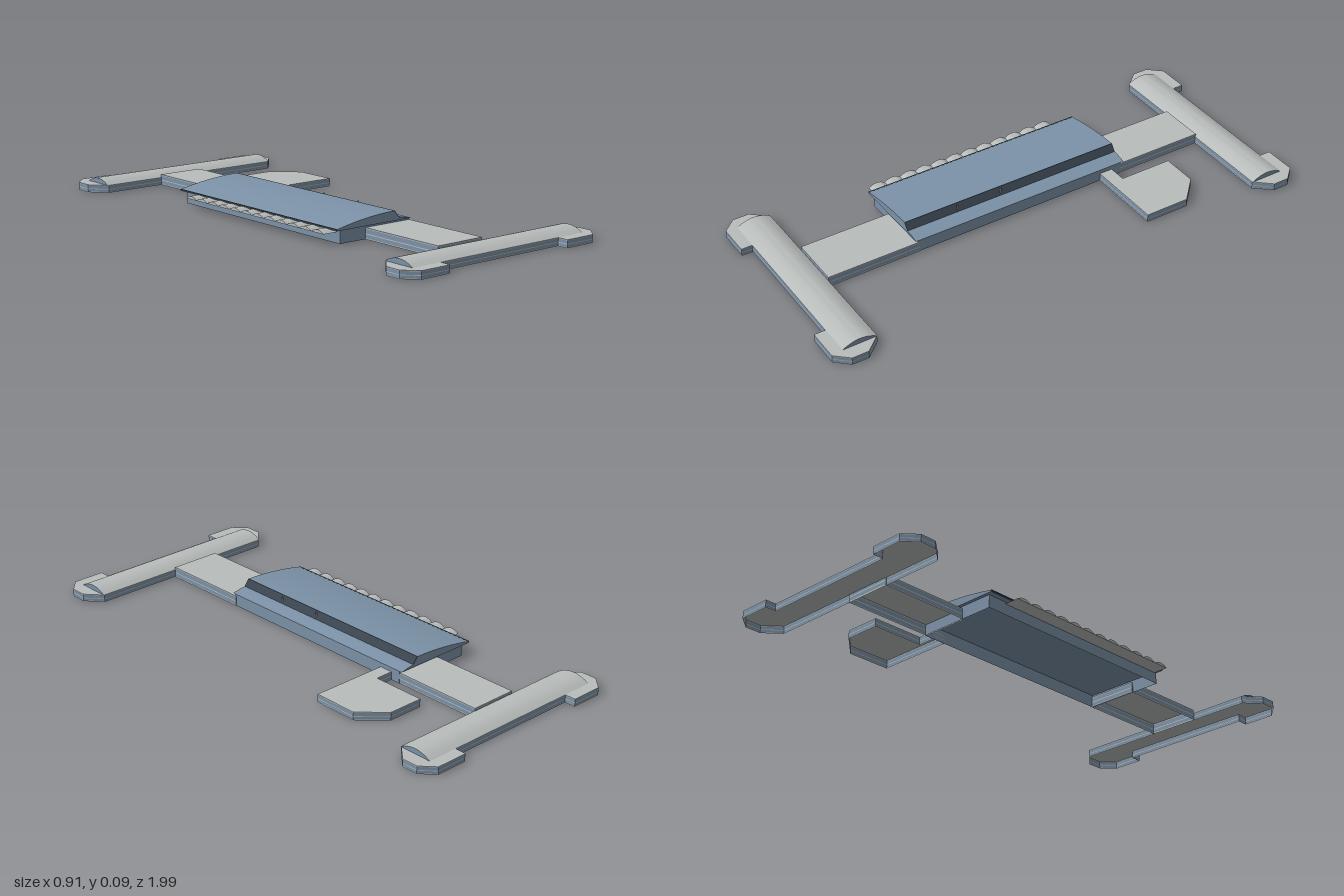
import * as THREE from 'three';
import { toCreasedNormals } from 'three/addons/utils/BufferGeometryUtils.js';

export function createModel() {
  const model = new THREE.Group();
  model.name = 'terminalBuilding';
  const mat = (name, color, side = THREE.DoubleSide) => {
    const m = new THREE.MeshStandardMaterial({ color, side });
    m.name = name;
    return m;
  };
  const grey = mat('roofGrey', 0xb8bcbb);
  const blue = mat('glassBlue', 0x7c92a8);
  const dark = mat('clerestoryDark', 0x3a444f);

  const add = (parent, name, geometry, material) => {
    const mesh = new THREE.Mesh(geometry, material);
    mesh.name = name;
    parent.add(mesh);
    return mesh;
  };

  // vertical wall strip following a closed outline of [x, z] points
  function wallStrip(outline, y0, y1) {
    const pos = [];
    outline.forEach(([ax, az], i) => {
      const [bx, bz] = outline[(i + 1) % outline.length];
      pos.push(ax, y0, az, bx, y0, bz, bx, y1, bz, ax, y0, az, bx, y1, bz, ax, y1, az);
    });
    const g = new THREE.BufferGeometry();
    g.setAttribute('position', new THREE.Float32BufferAttribute(pos, 3));
    g.computeVertexNormals();
    return g;
  }

  // hollow block: banded glass walls with a flat roof, open underneath
  function block(name, points, height, roofed = true) {
    const group = new THREE.Group();
    group.name = name;
    model.add(group);
    const flat = points.map(([x, z]) => new THREE.Vector2(x, -z));
    const outline = THREE.ShapeUtils.area(flat) < 0 ? [...points].reverse() : points;
    const bands = [0, 0.1, 0.42, 0.5, 0.9, 1];
    for (let i = 0; i < bands.length - 1; i++) {
      add(group, i % 2 ? 'glassBand' : 'wallTrim',
        wallStrip(outline, bands[i] * height, bands[i + 1] * height), i % 2 ? blue : grey);
    }
    if (roofed) {
      const roof = new THREE.ShapeGeometry(new THREE.Shape(flat));
      roof.rotateX(-Math.PI / 2).translate(0, height, 0);
      add(group, 'flatRoof', roof, grey);
    }
    return group;
  }
  const rect = (x0, x1, z0, z1) => [[x0, z0], [x0, z1], [x1, z1], [x1, z0]];

  // shallow arch with its base centred on the origin, extruded by length
  function arch(width, rise, length, steps) {
    const s = new THREE.Shape();
    s.moveTo(-width / 2, 0);
    s.quadraticCurveTo(0, rise * 2, width / 2, 0);
    s.closePath();
    const g = new THREE.ExtrudeGeometry(s, { depth: length, bevelEnabled: false, curveSegments: steps });
    return toCreasedNormals(g.rotateY(Math.PI / 2), 0.4);
  }

  // two cross piers with barrel vaults and glazed ends
  for (const s of [-1, 1]) {
    const half = [[0.4, 0.817], [0.456, 0.88], [0.456, 0.945], [0.408, 0.997], [0.28, 0.997], [0.28, 0.953]];
    const points = [
      ...half.map(([x, z]) => [x, s * z]),
      ...[...half].reverse().map(([x, z]) => [-x, s * z]),
    ];
    const pier = block(s < 0 ? 'rearPier' : 'frontPier', points, 0.03);
    add(pier, 'barrelVault', arch(0.134, 0.02, 0.808, 16), [blue, grey])
      .position.set(-0.405, 0.03, s * 0.885);
  }

  // connecting wings and side annex
  block('rearWing', rect(-0.147, 0.043, -0.82, -0.45), 0.042);
  block('frontWing', rect(-0.162, 0.047, 0.44, 0.815), 0.042);
  block('sideAnnex', [[0.045, -0.36], [0.355, -0.36], [0.355, -0.54], [0.262, -0.63],
    [0.117, -0.63], [0.117, -0.415], [0.045, -0.415]], 0.032);

  // main hall walls
  const hall = new THREE.Group();
  hall.name = 'mainHall';
  model.add(hall);
  add(hall, 'hallWalls', wallStrip(rect(-0.28, 0.045, -0.455, 0.445), 0, 0.05), blue);

  // hall roof: long curve, steep clerestory and low apron
  const z0 = -0.468, length = 0.923;
  const profile = new THREE.Shape();
  profile.moveTo(-0.302, 0.05);
  profile.lineTo(-0.302, 0.056);
  profile.quadraticCurveTo(-0.16, 0.086, -0.035, 0.086);
  profile.lineTo(-0.014, 0.06);
  profile.lineTo(0.008, 0.058);
  profile.lineTo(0.047, 0.05);
  profile.closePath();
  const roof = new THREE.ExtrudeGeometry(profile, { depth: length, bevelEnabled: false, curveSegments: 12 });
  add(hall, 'hallRoof', toCreasedNormals(roof.translate(0, 0, z0), 0.3), blue);

  // clerestory glazing
  const pane = new THREE.Shape();
  pane.moveTo(-0.035, 0.086);
  pane.lineTo(-0.014, 0.06);
  pane.lineTo(-0.012, 0.0605);
  pane.lineTo(-0.032, 0.0865);
  pane.closePath();
  const glazing = new THREE.ExtrudeGeometry(pane, { depth: length, bevelEnabled: false });
  add(hall, 'clerestory', glazing.translate(0, 0, z0), dark);

  // slim masts and eave rail
  for (const z of [0.05, 0.24]) {
    add(hall, 'mast', new THREE.BoxGeometry(0.002, 0.026, 0.006), grey).position.set(-0.018, 0.074, z);
  }
  add(hall, 'eaveRail', new THREE.BoxGeometry(0.005, 0.005, length), dark)
    .position.set(-0.302, 0.0545, z0 + length / 2);

  // row of scalloped entrance canopies
  const count = 12, pitch = 0.81 / count;
  for (let i = 0; i < count; i++) {
    add(hall, 'canopy', arch(pitch, 0.012, 0.06, 8), grey)
      .position.set(-0.343, 0.041, -0.378 + (i + 0.5) * pitch);
  }
  return model;
}
